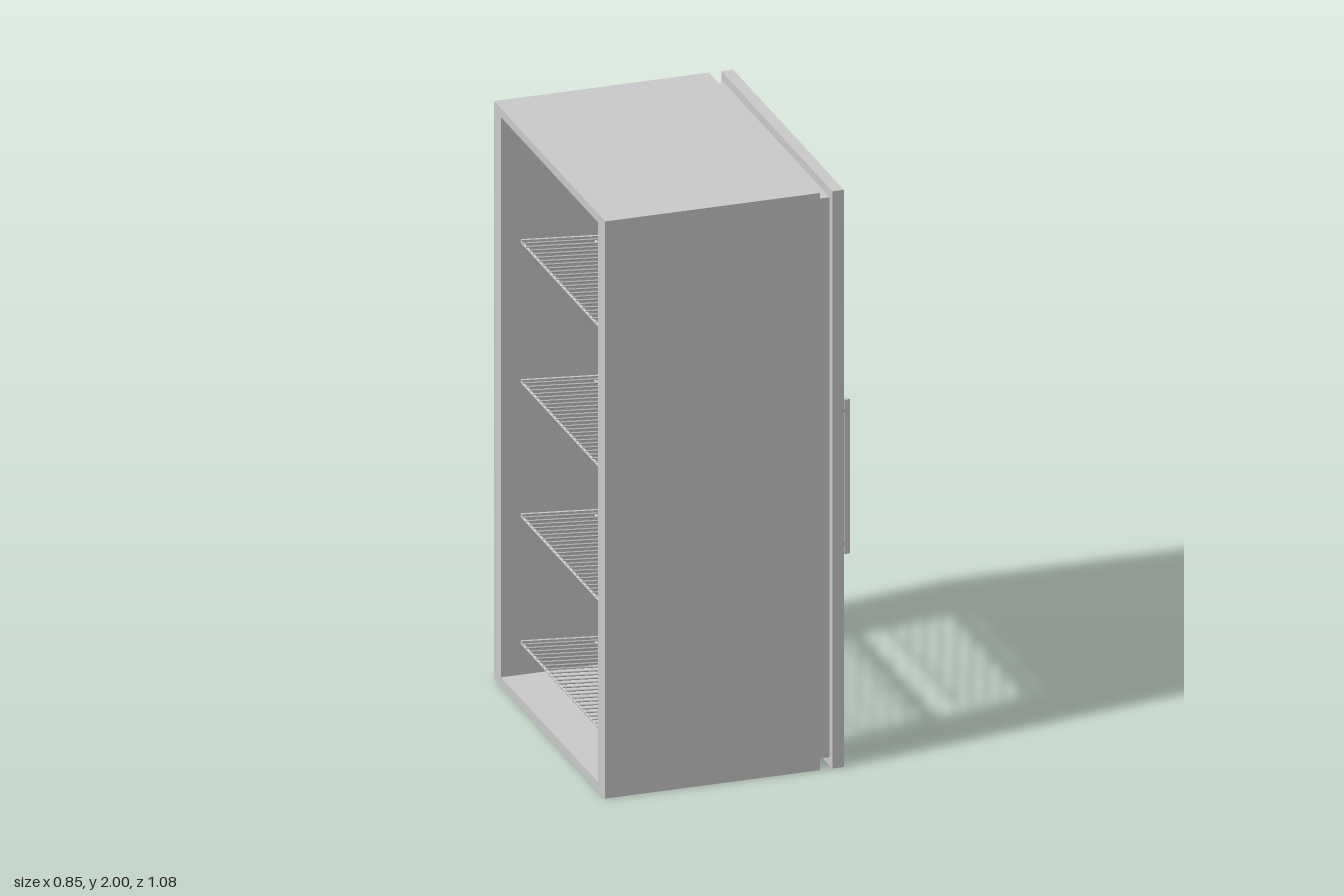
import * as THREE from 'three';

const mat = new THREE.MeshStandardMaterial({ color: 0xcccccc });

function add(parent, geometry, name, x = 0, y = 0, z = 0) {
  const mesh = new THREE.Mesh(geometry, mat);
  mesh.name = name;
  mesh.position.set(x, y, z);
  parent.add(mesh);
  return mesh;
}

const box = (w, h, d) => new THREE.BoxGeometry(w, h, d);

// Rectangular frame in the zy plane, extruded along x from x0 to x1
function frame(parent, name, x0, x1, outer, inner) {
  const [oz, oy0, oy1] = outer, [iz, iy0, iy1] = inner;
  const shape = new THREE.Shape([
    new THREE.Vector2(-oz, oy0), new THREE.Vector2(oz, oy0),
    new THREE.Vector2(oz, oy1), new THREE.Vector2(-oz, oy1)]);
  shape.holes.push(new THREE.Path([
    new THREE.Vector2(-iz, iy0), new THREE.Vector2(-iz, iy1),
    new THREE.Vector2(iz, iy1), new THREE.Vector2(iz, iy0)]));
  const geo = new THREE.ExtrudeGeometry(shape, { depth: x1 - x0, bevelEnabled: false });
  geo.rotateY(Math.PI / 2);
  return add(parent, geo, name, x0, 0, 0);
}

// Sloping wire shelf with a flat front rail; y is the top of the rail
function wireShelf(y) {
  const shelf = new THREE.Group();
  shelf.name = 'wireShelf';
  add(shelf, box(0.025, 0.025, 0.85), 'shelfFrontRail', 0.347, y - 0.0125, 0);

  const xFront = 0.34, xBack = -0.375, rise = 0.055;
  const run = xFront - xBack, length = Math.hypot(run, rise);
  const rack = new THREE.Group();
  rack.name = 'shelfRack';
  rack.position.set((xFront + xBack) / 2, y + 0.004 + rise / 2, 0);
  rack.rotation.z = -Math.atan2(rise, run);
  shelf.add(rack);

  // Wires running front to back
  const wire = new THREE.CylinderGeometry(0.003, 0.003, length, 6).rotateZ(Math.PI / 2);
  const count = 26;
  for (let i = 0; i < count; i++) {
    add(rack, wire, 'shelfWire', 0, 0, -0.4 + (0.8 * i) / (count - 1));
  }
  // Side and cross rods
  for (const s of [-1, 1]) add(rack, box(length, 0.012, 0.01), 'shelfSideRod', 0, 0, s * 0.418);
  for (const x of [-length / 2 + 0.005, -0.11, length / 2 - 0.02]) {
    const rod = new THREE.CylinderGeometry(0.005, 0.005, 0.84, 8).rotateX(Math.PI / 2);
    add(rack, rod, 'shelfCrossRod', x, -0.006, 0);
  }
  return shelf;
}

export function createModel() {
  const model = new THREE.Group();
  model.name = 'displayCabinet';

  // Cabinet shell, open at the back, with seal and door frame
  frame(model, 'cabinetShell', -0.425, 0.305, [0.54, 0, 2], [0.47, 0.03, 1.97]);
  frame(model, 'doorSeal', 0.305, 0.347, [0.515, 0.03, 1.97], [0.47, 0.05, 1.95]);
  frame(model, 'doorFrame', 0.347, 0.387, [0.54, 0, 2], [0.425, 0.083, 1.92]);

  for (const y of [0.105, 0.545, 1.01, 1.495]) model.add(wireShelf(y));

  // Light tubes with end sockets, one on each side of the door
  for (const s of [-1, 1]) {
    const light = new THREE.Group();
    light.name = 'lightTube';
    add(light, new THREE.CylinderGeometry(0.016, 0.016, 1.42, 16), 'tube', 0.3, 1, s * 0.446);
    for (const y of [0.19, 1.82]) add(light, box(0.07, 0.23, 0.05), 'tubeSocket', 0.3, y, s * 0.445);
    model.add(light);
  }

  // Door handle on two short posts
  const handle = new THREE.Group();
  handle.name = 'doorHandle';
  add(handle, box(0.018, 0.535, 0.018), 'handleBar', 0.414, 0.985, 0.485);
  for (const y of [0.755, 1.215]) {
    const post = new THREE.CylinderGeometry(0.008, 0.012, 0.025, 16).rotateZ(-Math.PI / 2);
    add(handle, post, 'handlePost', 0.396, y, 0.485);
  }
  model.add(handle);

  return model;
}
